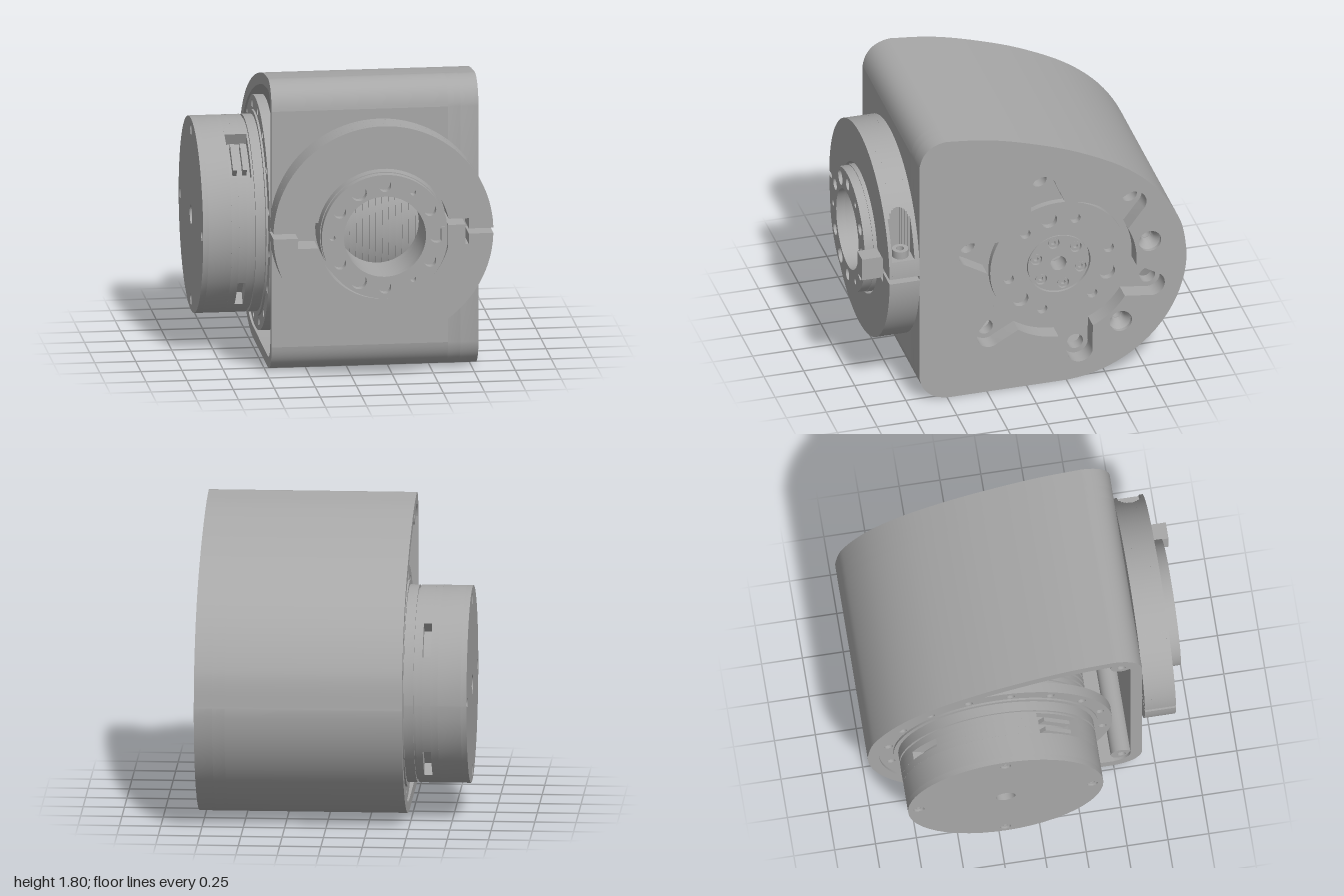
import * as THREE from 'three';
import { toCreasedNormals } from 'three/addons/utils/BufferGeometryUtils.js';

const TAU = Math.PI * 2, DEG = Math.PI / 180;
const grey = new THREE.MeshStandardMaterial({ color: 0xa8a8a8, side: THREE.DoubleSide });
grey.name = 'machined grey';

const V = (x, y) => new THREE.Vector2(x, y);
const polar = (c, r, a) => V(c.x + r * Math.cos(a), c.y + r * Math.sin(a));
const arc = (c, r, a, b, n = 48) =>
  Array.from({ length: n + 1 }, (_, i) => polar(c, r, a + (b - a) * i / n));
const circle = (c, r, n = 64) => arc(c, r, 0, TAU * (n - 1) / n, n - 1);
// evenly spaced round holes on a bolt circle, angles in degrees
const bolts = (c, R, r, n, start) =>
  Array.from({ length: n }, (_, i) => circle(polar(c, R, (start + i * 360 / n) * DEG), r, 20));

// Drive axis runs along x; its profiles use (u, y) with u = -z
const drive = V(0.22, 0.787);
// Front clamp axis runs along z; its profiles use (x, y)
const front = V(0.18, 0.912);

export function createModel() {
  const model = new THREE.Group();
  const add = (name, geo, parent = model) => {
    const m = new THREE.Mesh(toCreasedNormals(geo, 0.6), grey);
    m.name = name;
    parent.add(m);
    return m;
  };
  const group = (name) => {
    const g = new THREE.Group();
    g.name = name;
    model.add(g);
    return g;
  };
  const extrude = (pts, holes, a, b) => {
    const s = new THREE.Shape(pts);
    s.holes = holes.map((h) => new THREE.Path(h));
    return new THREE.ExtrudeGeometry(s, { depth: b - a, bevelEnabled: false }).translate(0, 0, a);
  };
  const alongX = (name, pts, holes, a, b, p) => add(name, extrude(pts, holes, a, b).rotateY(Math.PI / 2), p);
  const alongZ = (name, pts, holes, a, b, p) => add(name, extrude(pts, holes, a, b), p);
  // lathe whose profile is (radius, x) round the drive axis direction
  const latheX = (pts, c, n = 96) =>
    new THREE.LatheGeometry(pts, n).rotateZ(-Math.PI / 2).translate(0, c.y, -c.x);
  const socketHead = (r, h) =>
    new THREE.LatheGeometry([V(r, 0), V(r, h), V(r * 0.5, h), V(r * 0.5, h * 0.3), V(0, h * 0.3)], 20);

  // ---- Housing: rounded shell, open on the -x side
  const housing = group('housing');
  const path = new THREE.Path();
  path.moveTo(-0.675, 0.17);
  path.quadraticCurveTo(-0.655, 0.02, -0.5, 0);
  path.lineTo(0.22, 0.002);
  path.absarc(drive.x, drive.y, 0.785, -Math.PI / 2, 0);
  path.splineThru([V(0.965, 1.01), V(0.825, 1.25), V(0.61, 1.444), V(0.315, 1.6),
    V(0.02, 1.706), V(-0.25, 1.775), V(-0.505, 1.805)]);
  path.quadraticCurveTo(-0.655, 1.79, -0.675, 1.64);
  const outline = path.getPoints(12);
  const inner = outline.map((p, i) => {
    const t = outline[Math.min(i + 1, outline.length - 1)].clone().sub(outline[Math.max(i - 1, 0)]).normalize();
    return V(p.x - t.y * 0.07, p.y + t.x * 0.07);
  });
  alongX('housingShell', [...outline, ...inner.reverse()], [], -0.475, 0.6, housing);
  alongZ('housingFrontWall', [V(-0.475, 0.17), V(0.6, 0.17), V(0.6, 1.64), V(-0.475, 1.64)],
    [circle(front, 0.25)], 0.605, 0.675, housing);
  for (const y of [0.14, 1.66]) {
    const c = V(-0.55, y);
    alongX('cornerBoss', circle(c, 0.065, 24), [circle(c, 0.028, 16)], -0.46, 0.6, housing);
  }

  // ---- Side plate with a six-lobed recess and two countersunk holes
  const recess = [];
  for (let k = 0; k < 6; k++) {
    const a = (41 + 60 * k) * DEG, w = Math.asin(0.11 / 0.47);
    recess.push(...arc(drive, 0.47, a - 30 * DEG, a - w, 6));
    recess.push(...arc(polar(drive, 0.6, a), 0.08, a - Math.PI / 2, a + Math.PI / 2, 14));
    recess.push(...arc(drive, 0.47, a + w, a + 29 * DEG, 6));
  }
  const sinks = [11, -49].map((d) => polar(drive, 0.565, d * DEG));
  alongX('sidePlate', outline, [recess, ...sinks.map((c) => circle(c, 0.07, 32))], 0.675, 0.785, housing);
  alongX('recessFloor', outline, [circle(drive, 0.05, 32), ...bolts(drive, 0.6, 0.05, 6, 41),
    ...sinks.map((c) => circle(c, 0.035, 20))], 0.6, 0.675, housing);
  for (const c of sinks) {
    add('countersink', latheX([V(0.035, 0.68), V(0.04, 0.72), V(0.07, 0.76)], c, 32), housing);
  }

  // ---- Output disc with hub and screws
  const output = group('outputDisc');
  alongX('discFace', circle(drive, 0.43, 96), [circle(drive, 0.2), ...bolts(drive, 0.32, 0.052, 3, 101),
    ...bolts(drive, 0.32, 0.033, 6, 11)], 0.67, 0.715, output);
  alongX('hub', circle(drive, 0.192), [circle(drive, 0.05, 32), ...bolts(drive, 0.146, 0.037, 6, 42)],
    0.67, 0.71, output);
  for (let k = 0; k < 6; k++) {
    const c = polar(drive, 0.146, (42 + 60 * k) * DEG);
    add('hubScrew', socketHead(0.031, 0.03).rotateZ(-Math.PI / 2).translate(0.672, c.y, -c.x), output);
  }

  // ---- Motor: inner finned body, bolted flange and protruding cap
  const motor = group('motor');
  const fins = [];
  for (let i = 0; i < 26; i++) {
    const x = -0.44 + i * 0.04;
    fins.push(V(0.58, x), V(0.58, x + 0.028), V(0.565, x + 0.028), V(0.565, x + 0.04));
  }
  add('finnedBody', latheX(fins, drive), motor);
  alongX('motorFlange', circle(drive, 0.714, 96), [circle(drive, 0.3), ...bolts(drive, 0.66, 0.026, 16, 8)],
    -0.462, -0.4, motor);
  alongX('flangeStep', circle(drive, 0.625, 96), [circle(drive, 0.3)], -0.474, -0.46, motor);
  // circular slice whose rim is cut away between the given angles
  const slice = (cuts) => {
    const pts = [];
    let from = 0;
    for (const [a, b] of cuts) {
      pts.push(...arc(drive, 0.598, from * DEG, a * DEG, 24), ...arc(drive, 0.52, a * DEG, b * DEG, 6));
      from = b;
    }
    return pts.concat(arc(drive, 0.598, from * DEG, 359 * DEG, 48));
  };
  const port = [113, 145], slots = [[28, 50], port, [211, 233], [305, 329]];
  const bore = circle(drive, 0.06, 32);
  alongX('motorCapFace', slice([]), [bore, ...bolts(drive, 0.53, 0.034, 4, 0)], -0.855, -0.82, motor);
  alongX('motorCap', slice([]), [bore], -0.82, -0.68, motor);
  alongX('motorCap', slice([port]), [bore], -0.68, -0.635, motor);
  alongX('motorSlots', slice(slots), [bore], -0.635, -0.585, motor);
  alongX('motorCap', slice([port]), [bore], -0.585, -0.545, motor);
  alongX('motorGroove', circle(drive, 0.58, 96), [bore], -0.545, -0.533, motor);
  alongX('motorCollar', slice([]), [bore], -0.533, -0.462, motor);
  for (let k = 0; k < 4; k++) {
    const c = polar(drive, 0.53, k * 90 * DEG);
    add('capScrew', socketHead(0.028, 0.025).rotateZ(Math.PI / 2).translate(-0.819, c.y, -c.x), motor);
  }
  // plug inside the port
  const plug = polar(drive, 0.535, 129 * DEG);
  for (const dx of [-0.03, 0.03]) {
    const pin = add('portPin', new THREE.BoxGeometry(0.025, 0.06, 0.2), motor);
    pin.position.set(-0.61 + dx, plug.y, -plug.x);
    pin.rotation.x = 39 * DEG;
  }

  // ---- Front ring with bolt circle and locating key
  const ring = group('frontRing');
  const ringHoles = [...bolts(front, 0.317, 0.038, 6, 30), ...bolts(front, 0.317, 0.048, 3, 0),
    ...[57.5, -57.5, 180].map((d) => circle(polar(front, 0.32, d * DEG), 0.018, 14))];
  alongZ('ringBody', circle(front, 0.39, 96), [circle(front, 0.25)], 0.66, 0.9, ring);
  alongZ('ringFace', circle(front, 0.385, 96), [circle(front, 0.25), ...ringHoles], 0.9, 0.955, ring);
  add('key', new THREE.BoxGeometry(0.105, 0.145, 0.31).translate(0.612, front.y, 0.845), ring);
  add('keyArm', new THREE.BoxGeometry(0.04, 0.11, 0.05).translate(0.545, front.y, 0.935), ring);

  // ---- Split clamp: two halves, with a screw pocket in the upper one
  const clamp = group('splitClamp');
  const R = 0.67, gap = 0.016, notch = 0.08, seat = 0.128;
  const halfRing = (pocketX, flip) => {
    const o = V(0, 0), g = Math.asin(gap / R), n = Math.asin(notch / 0.405);
    const outer = pocketX
      ? [...arc(o, R, g, Math.asin(seat / R), 8), V(pocketX, seat), ...arc(o, R, Math.acos(pocketX / R), Math.PI - g)]
      : arc(o, R, g, Math.PI - g, 64);
    return [...outer, V(-0.52, gap), V(-0.52, notch), ...arc(o, 0.405, Math.PI - n, n),
      V(0.52, notch), V(0.52, gap)].map((p) => V(front.x + p.x, front.y + flip * p.y));
  };
  alongZ('clampLower', halfRing(0, -1), [], 0.69, 0.88, clamp);
  alongZ('clampUpper', halfRing(0, 1), [], 0.69, 0.72, clamp);
  alongZ('clampUpper', halfRing(0, 1), [], 0.86, 0.88, clamp);
  for (let i = 0; i < 10; i++) {
    const dz = -0.063 + i * 0.014;
    alongZ('clampPocket', halfRing(0.585 - Math.sqrt(0.0049 - dz * dz), 1), [],
      0.72 + i * 0.014, 0.734 + i * 0.014, clamp);
  }
  add('clampScrew', socketHead(0.05, 0.05).translate(0.765, front.y + seat, 0.79), clamp);

  return model;
}
